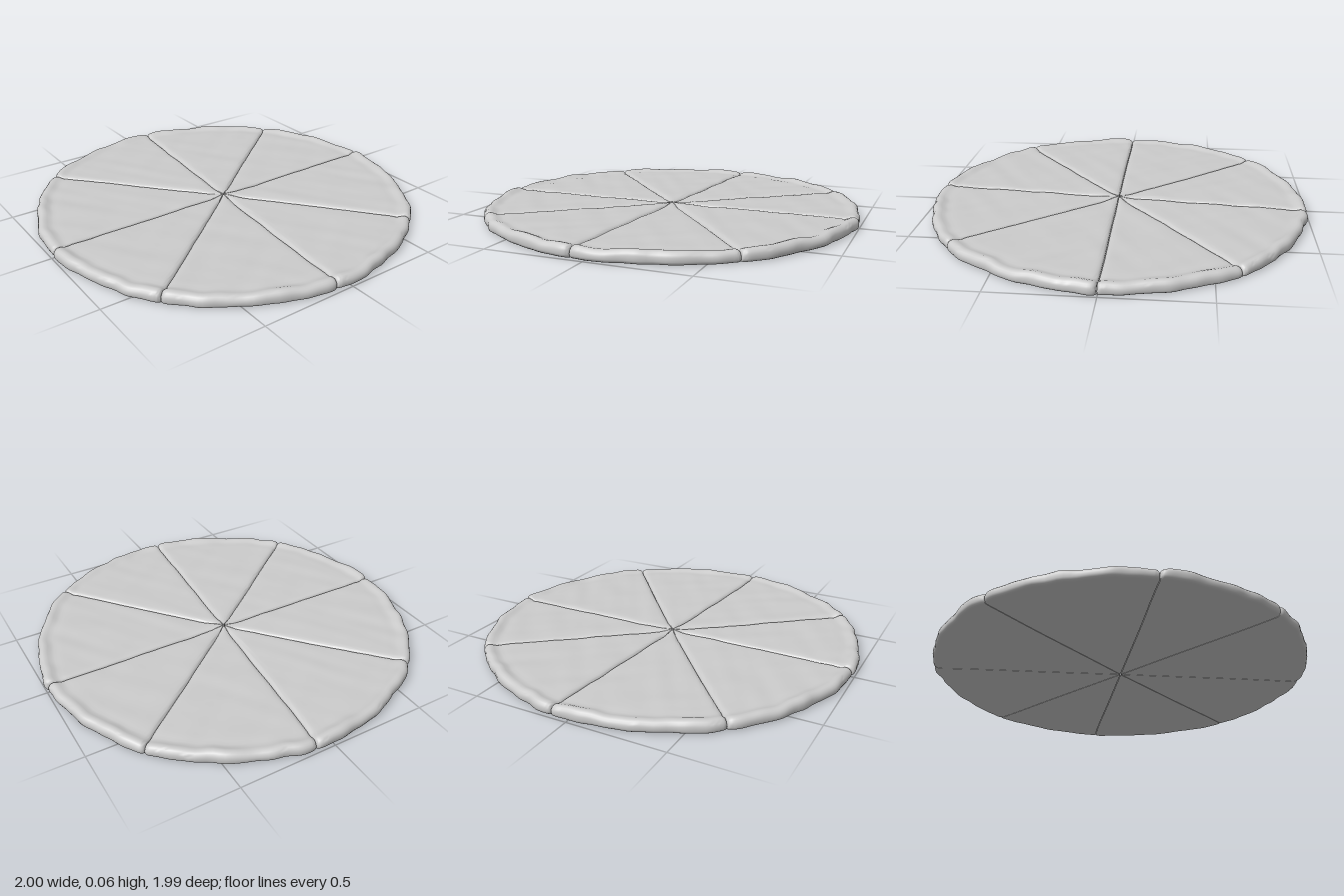
import * as THREE from 'three';
import { toCreasedNormals } from 'three/addons/utils/BufferGeometryUtils.js';

const { sin, cos, PI, exp, min } = Math;

// Directions of the eight cuts, in degrees from +x towards +z
const CUTS = [0, 50.3, 94.7, 141.2, 180, 228.7, 275.2, 311.3 + 9.8 - 0.1, 360]
  .map(THREE.MathUtils.degToRad);
CUTS[5] = Math.atan2(-0.74, -0.65) + 2 * PI;

// Gentle lumps of baked dough
const lumps = (x, z) =>
  0.0011 * (sin(19 * x + 7 * z + 3 * sin(9 * z)) + sin(23 * z - 11 * x + 2 * sin(13 * x)))
  + 0.0008 * sin(41 * x + 5 * z) * sin(37 * z - 9 * x);

// Uneven outer edge
const edgeWave = (a) => 0.003 * sin(17 * a + 1) + 0.003 * sin(29 * a + 2 * sin(5 * a)) + 0.0015 * sin(53 * a);

// Stations along the radius: [fraction, top height, bottom height]
function radialStations() {
  const list = [];
  for (let i = 0; i <= 26; i++) list.push([0.003 + 0.897 * i / 26, 0.056, 0.006]);
  list.push([0.92, 0.054, 0.006], [0.937, 0.056, 0.006], [0.952, 0.061, 0.006], [0.966, 0.065, 0.006],
    [0.979, 0.064, 0.006], [0.989, 0.059, 0.008], [0.996, 0.051, 0.013], [1, 0.041, 0.023]);
  return list;
}

function sliceGeometry(k) {
  const a0 = CUTS[k], a1 = CUTS[k + 1], mid = (a0 + a1) / 2;
  const stations = radialStations(), n = stations.length, loop = 2 * n, steps = 44;
  const pos = [], index = [];
  // Slightly crooked knife line, shared by neighbouring slices
  const wiggle = (c, f) => 0.004 * sin(7 * f + 2.1 * (c % 8)) * f;

  for (let j = 0; j <= steps; j++) {
    const u = 0.5 - 0.5 * cos(PI * j / steps);
    for (let i = 0; i < loop; i++) {
      const isTop = i < n;
      const [f, top, bottom] = stations[isTop ? i : loop - 1 - i];
      const a = THREE.MathUtils.lerp(a0 + wiggle(k, f), a1 + wiggle(k + 1, f), u);
      const toCut = min(u, 1 - u) * (a1 - a0) * f;
      const pinch = exp(-toCut / 0.009);
      const corner = f > 0.9 ? 0.012 * pinch * (f - 0.9) / 0.1 : 0;
      const r = f * (0.993 - 0.011 * sin(PI * u) + edgeWave(a)) - corner;
      const x = r * cos(a), z = r * sin(a);
      let y = bottom;
      if (isTop) {
        const crust = THREE.MathUtils.smoothstep(f, 0.92, 0.96);
        y = top + lumps(x, z) + crust * (0.0025 * sin(11 * a) + 0.002 * sin(23 * a + 1));
        y -= 0.013 * pinch * min(1, f / 0.1);
      }
      // Draw each slice outwards a little to open the cuts
      pos.push(x + 0.004 * cos(mid), y, z + 0.004 * sin(mid));
    }
  }
  const quad = (a, b, c, d) => index.push(a, b, c, a, c, d);
  // Top, crust edge and underside
  for (let j = 0; j < steps; j++) {
    for (let i = 0; i < loop - 1; i++) {
      const p = j * loop + i;
      quad(p, p + loop, p + loop + 1, p + 1);
    }
  }
  // The two cut faces
  const end = steps * loop;
  for (let i = 0; i < n - 1; i++) {
    const below = loop - 1 - i;
    quad(i, i + 1, below - 1, below);
    quad(end + below, end + below - 1, end + i + 1, end + i);
  }
  const geometry = new THREE.BufferGeometry();
  geometry.setAttribute('position', new THREE.Float32BufferAttribute(pos, 3));
  geometry.setIndex(index);
  return toCreasedNormals(geometry, PI / 4);
}

export function createModel() {
  const pizza = new THREE.Group();
  pizza.name = 'pizza';
  const material = new THREE.MeshStandardMaterial({ color: 0xcccccc });
  for (let k = 0; k < 8; k++) {
    const slice = new THREE.Mesh(sliceGeometry(k), material);
    slice.name = `slice${k + 1}`;
    pizza.add(slice);
  }
  return pizza;
}
